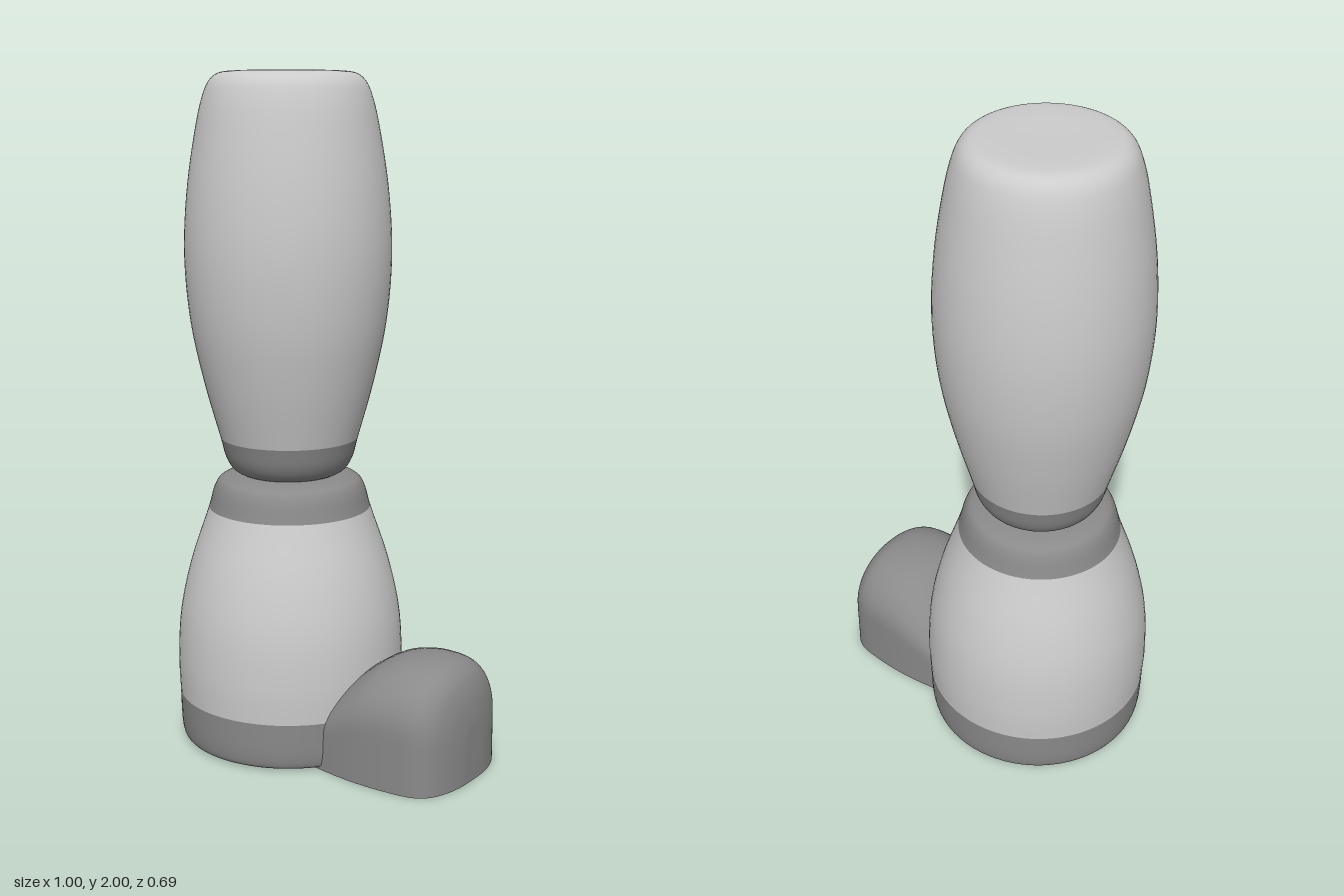
import * as THREE from 'three';

const light = new THREE.MeshStandardMaterial({ color: 0xcccccc });
const dark = new THREE.MeshStandardMaterial({ color: 0x8a8a8a });
const AXIS_X = -0.157;

// Surface of revolution cut into coloured bands at chosen profile points
function turned(name, profile, bands) {
  const group = new THREE.Group();
  group.name = name;
  const curve = new THREE.CatmullRomCurve3(
    profile.map(([r, y]) => new THREE.Vector3(r, y, 0)), false, 'centripetal');
  const last = profile.length - 1;
  for (const [part, from, to, material] of bands) {
    const points = [];
    const steps = (to - from) * 5;
    for (let i = 0; i <= steps; i++) {
      const p = curve.getPoint((from + ((to - from) * i) / steps) / last);
      points.push(new THREE.Vector2(Math.max(p.x, 0), Math.max(p.y, 0)));
    }
    const mesh = new THREE.Mesh(new THREE.LatheGeometry(points, 72), material);
    mesh.name = part;
    group.add(mesh);
  }
  group.position.x = AXIS_X;
  return group;
}

// Toe stations: x, crest height, half width
const toeStations = new THREE.CatmullRomCurve3([
  [0.0, 0.12, 0.175], [0.1, 0.22, 0.2], [0.18, 0.29, 0.212], [0.25, 0.332, 0.217],
  [0.34, 0.35, 0.215], [0.42, 0.342, 0.203], [0.46, 0.315, 0.175],
  [0.485, 0.265, 0.125], [0.497, 0.2, 0.07], [0.5, 0.16, 0.035],
].map((p) => new THREE.Vector3(...p)), false, 'centripetal');

// Bend a plane into a surface running along the toe
function toeSurface(name, place) {
  const geometry = new THREE.PlaneGeometry(1, 1, 40, 54);
  const pos = geometry.attributes.position;
  for (let i = 0; i < pos.count; i++) {
    const u = pos.getX(i) + 0.5;
    const v = 0.5 - pos.getY(i);
    const s = toeStations.getPoint(v);
    if (v > 0.9999) s.set(0.5, 0, 0); // close the tip
    const [y, z] = place(u, s.y, s.z);
    pos.setXYZ(i, Math.min(s.x, 0.5), y, z);
  }
  geometry.computeVertexNormals();
  const mesh = new THREE.Mesh(geometry, dark);
  mesh.name = name;
  return mesh;
}

// Dome section: straight walls below, rounded crown above
function dome(u, height, halfWidth) {
  const wall = height * 0.48;
  if (u < 0.15) return [wall * (u / 0.15), halfWidth];
  if (u > 0.85) return [wall * ((1 - u) / 0.15), -halfWidth];
  const a = Math.PI * (u - 0.15) / 0.7;
  const c = Math.cos(a);
  return [
    wall + (height - wall) * Math.pow(Math.max(Math.sin(a), 0), 0.92),
    halfWidth * Math.sign(c) * Math.pow(Math.abs(c), 0.92),
  ];
}

export function createModel() {
  const model = new THREE.Group();
  model.name = 'legWithFoot';

  // Lower leg with dark sole and collar bands
  model.add(turned('lowerLeg', [
    [0, 0.004], [0.29, 0.004], [0.325, 0.008], [0.334, 0.03], [0.34, 0.147],
    [0.343, 0.25], [0.333, 0.4], [0.3, 0.55], [0.243, 0.72],
    [0.226, 0.78], [0.21, 0.805], [0.17, 0.82], [0.1, 0.825], [0, 0.825],
  ], [
    ['soleBand', 0, 4, dark], ['shin', 4, 8, light], ['collarBand', 8, 13, dark],
  ]));

  // Upper leg: barrel with a dark rounded lower end
  model.add(turned('upperLeg', [
    [0, 0.818], [0.12, 0.818], [0.165, 0.835], [0.188, 0.868], [0.206, 0.932],
    [0.252, 1.1], [0.289, 1.28], [0.304, 1.47], [0.295, 1.65], [0.27, 1.82],
    [0.248, 1.92], [0.228, 1.97], [0.205, 1.992], [0.175, 2], [0, 2],
  ], [
    ['kneeBand', 0, 4, dark], ['thigh', 4, 14, light],
  ]));

  // Rounded toe pointing sideways
  const toe = new THREE.Group();
  toe.name = 'toe';
  toe.add(
    toeSurface('toeUpper', dome),
    toeSurface('toeSole', (u, h, w) => [0, w * (2 * u - 1)]),
  );
  model.add(toe);
  return model;
}
